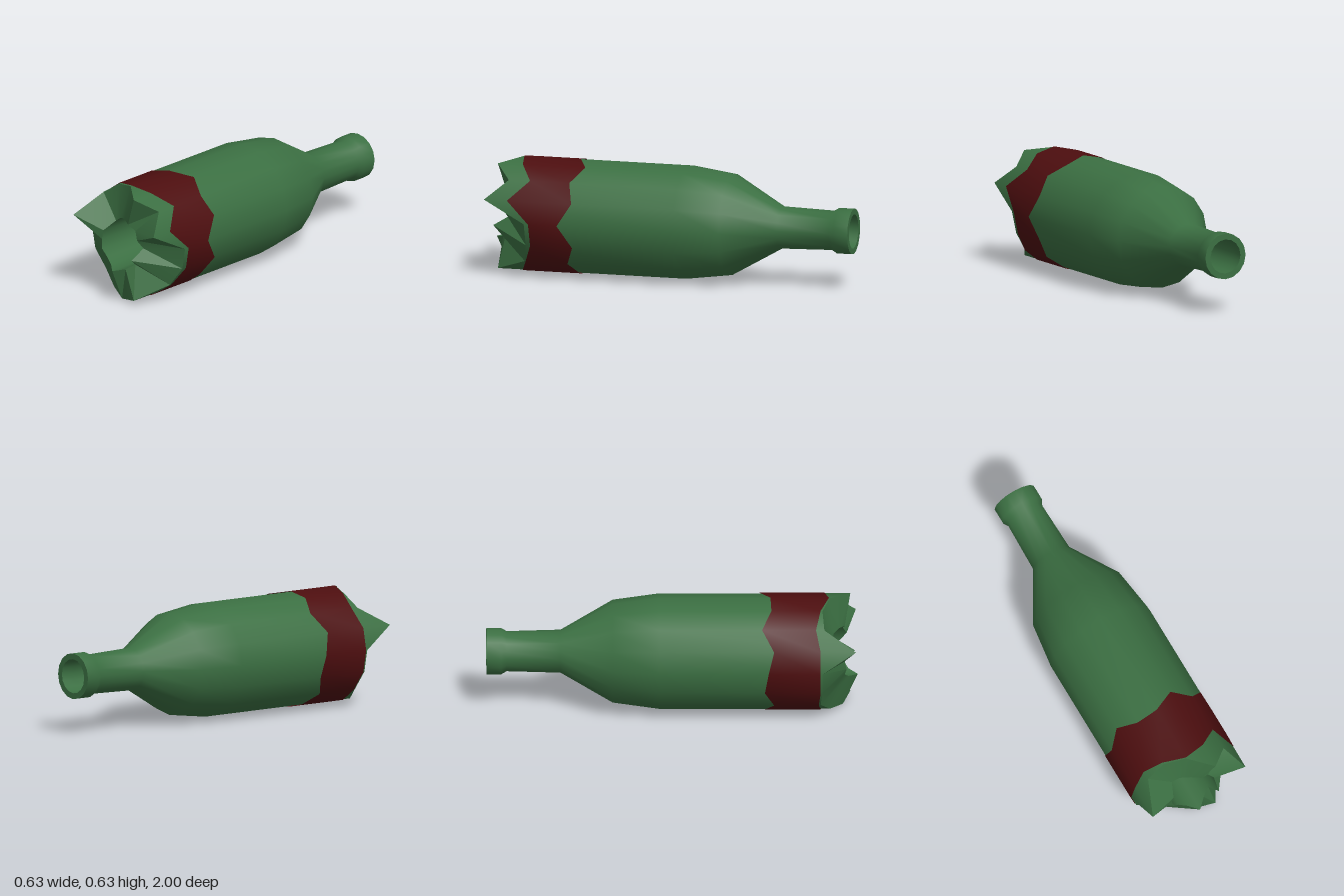
import * as THREE from 'three';
import { toCreasedNormals } from 'three/addons/utils/BufferGeometryUtils.js';

const SIDES = 16;
const AXIS_Y = 0.315;

// One ring around the bottle's axis; z is a number or one value per corner
function ring(radius, z) {
  return Array.from({ length: SIDES }, (_, k) => {
    const a = (k / SIDES) * Math.PI * 2;
    return [radius * Math.cos(a), AXIS_Y + radius * Math.sin(a), Array.isArray(z) ? z[k] : z];
  });
}

// Skin a list of rings
function loft(rings, crease) {
  const index = [];
  for (let i = 0; i < rings.length - 1; i++) {
    for (let k = 0; k < SIDES; k++) {
      const n = (k + 1) % SIDES;
      const a = i * SIDES + k, b = i * SIDES + n, c = b + SIDES, d = a + SIDES;
      index.push(a, b, c, a, c, d);
    }
  }
  const geo = new THREE.BufferGeometry();
  geo.setAttribute('position', new THREE.Float32BufferAttribute(rings.flat(2), 3));
  geo.setIndex(index);
  return toCreasedNormals(geo, crease);
}

export function createModel() {
  const group = new THREE.Group();
  const glass = new THREE.MeshStandardMaterial({ color: 0x3b6f42 });
  const label = new THREE.MeshStandardMaterial({ color: 0x4d0e0f, side: THREE.DoubleSide });
  glass.name = 'greenGlass';
  label.name = 'redLabel';

  const add = (name, geo, mat) => {
    const mesh = new THREE.Mesh(geo, mat);
    mesh.name = name;
    group.add(mesh);
  };

  // Jagged edges, starting at +x and turning towards +y
  const outerBreak = [0.76, 0.99, 0.87, 0.96, 0.85, 0.81, 0.82, 0.99,
    0.81, 0.81, 0.80, 0.85, 0.92, 0.96, 0.78, 0.755];
  const innerBreak = [0.90, 0.94, 0.92, 0.93, 0.90, 0.87, 0.86, 0.93,
    0.93, 0.94, 0.93, 0.95, 1.0, 0.95, 0.92, 0.985];
  const labelFront = [0.735, 0.86, 0.75, 0.82, 0.845, 0.80, 0.775, 0.80,
    0.80, 0.80, 0.79, 0.80, 0.81, 0.82, 0.775, 0.73];
  const labelBack = [0.575, 0.50, 0.53, 0.47, 0.53, 0.535, 0.485, 0.55,
    0.52, 0.50, 0.55, 0.50, 0.52, 0.50, 0.54, 0.495];

  // Outside: lip, neck, shoulder, body
  add('bottleOutside', loft([
    ring(0.125, -1), ring(0.125, -0.92), ring(0.108, -0.89), ring(0.116, -0.6),
    ring(0.277, -0.32), ring(0.311, -0.07), ring(0.311, outerBreak),
  ], 0.75), glass);

  // Broken face of the thick glass
  add('brokenEdge', loft([ring(0.311, outerBreak), ring(0.135, innerBreak)], 0.5), glass);

  // Bore running through to the mouth
  add('bottleInside', loft([
    ring(0.135, innerBreak), ring(0.113, -0.07), ring(0.105, -0.6), ring(0.093, -0.92), ring(0.093, -1),
  ], 0.6), glass);

  // Flat lip around the mouth
  add('mouthLip', loft([ring(0.093, -1), ring(0.125, -1)], 0.5), glass);

  // Torn label band
  add('labelBand', loft([ring(0.3145, labelBack), ring(0.3145, labelFront)], 0.75), label);

  return group;
}
